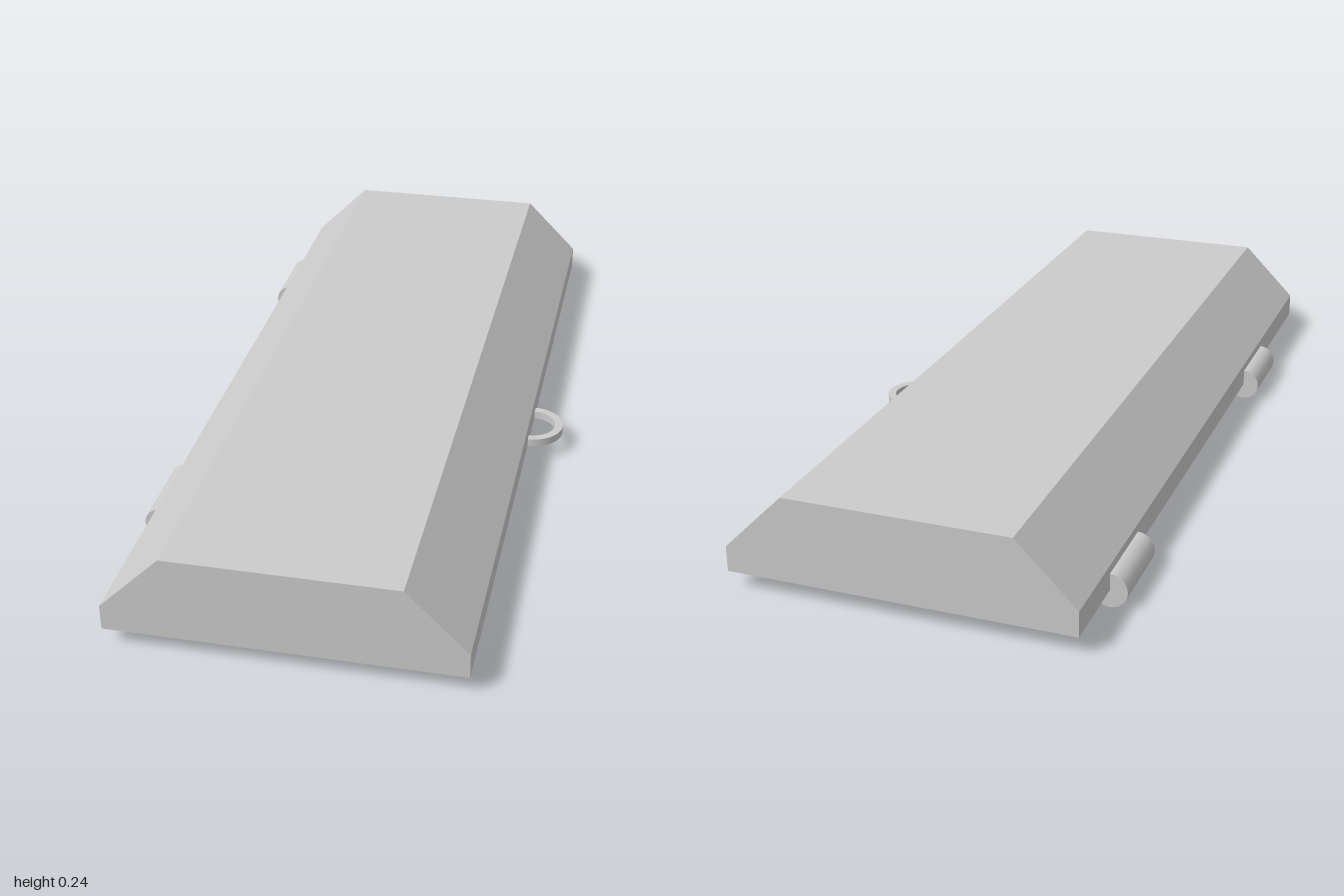
import * as THREE from 'three';

export function createModel() {
  const group = new THREE.Group();
  group.name = 'hingedLid';
  const material = new THREE.MeshStandardMaterial({ color: 0xcccccc });

  const add = (name, geometry) => {
    const mesh = new THREE.Mesh(geometry, material);
    mesh.name = name;
    group.add(mesh);
    return mesh;
  };

  // Lid: chamfered profile extruded along z
  const profile = new THREE.Shape([
    [-0.42, 0.04], [0.38, 0.04], [0.38, 0.1],
    [0.24, 0.24], [-0.28, 0.24], [-0.42, 0.1],
  ].map(([x, y]) => new THREE.Vector2(x, y)));
  const lid = new THREE.ExtrudeGeometry(profile, { depth: 2, bevelEnabled: false });
  add('lid', lid.translate(0, 0, -1));

  // Two hinge barrels along the lower right edge
  for (const [name, z] of [['frontHinge', 0.5], ['backHinge', -0.7]]) {
    const barrel = new THREE.CylinderGeometry(0.04, 0.04, 0.2, 32).rotateX(Math.PI / 2);
    add(name, barrel).position.set(-0.42, 0.04, z);
  }

  // Half-ring pull on the opposite edge
  const ring = new THREE.Shape();
  ring.absarc(0, 0, 0.08, -Math.PI / 2, Math.PI / 2, false);
  ring.absarc(0, 0, 0.06, Math.PI / 2, -Math.PI / 2, true);
  const pull = new THREE.ExtrudeGeometry(ring, { depth: 0.02, bevelEnabled: false, curveSegments: 24 });
  add('pullRing', pull.rotateX(-Math.PI / 2)).position.set(0.38, 0.04, 0);

  return group;
}
